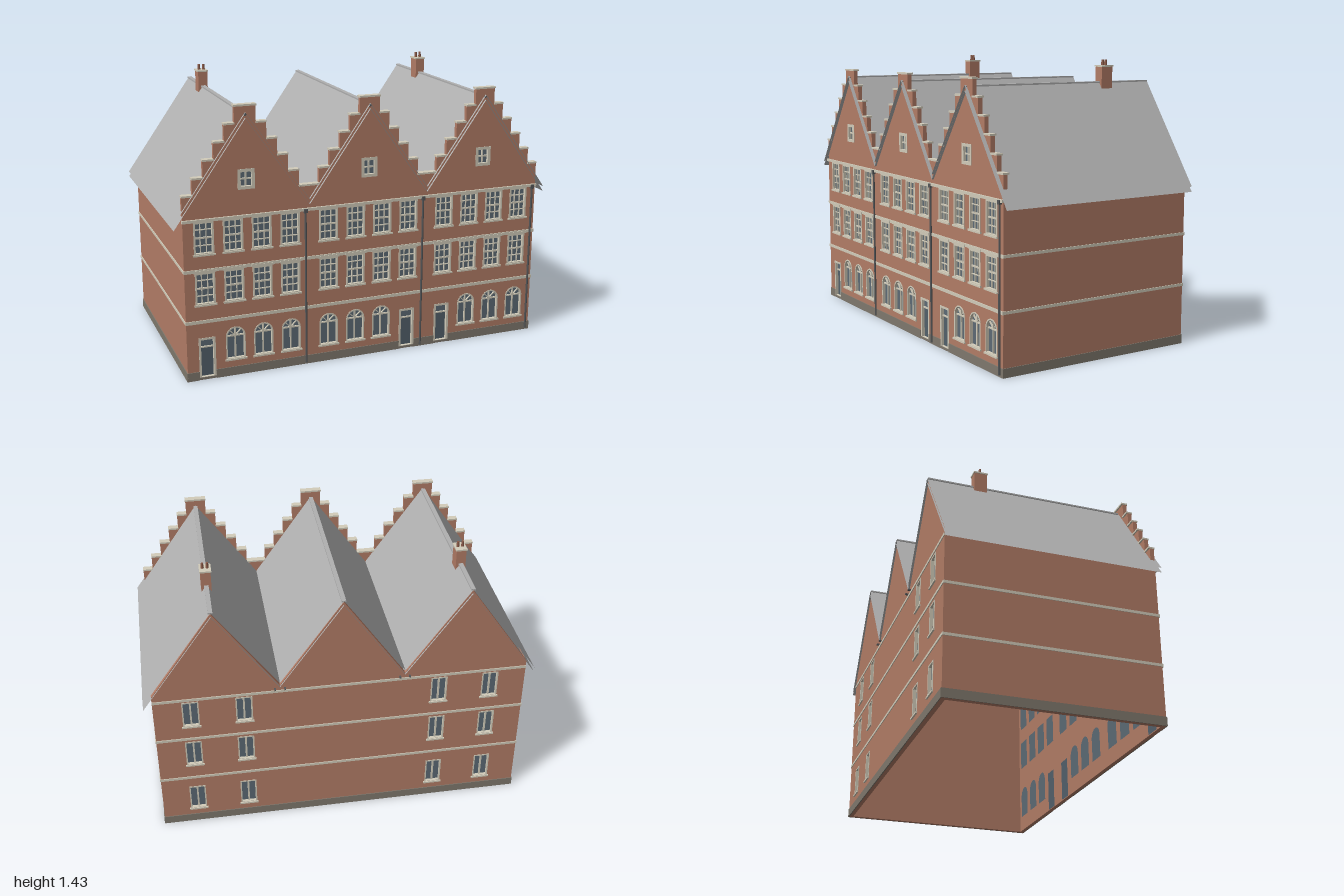
import * as THREE from 'three';

const mat = (name, color, side = THREE.FrontSide) => {
  const m = new THREE.MeshStandardMaterial({ color, side });
  m.name = name;
  return m;
};

export function createModel() {
  const M = {
    brick: mat('brick', 0xb27c66),
    roof: mat('roof slate', 0xb0b0b0, THREE.DoubleSide),
    cream: mat('cream stone', 0xd2ccba),
    glass: mat('glass', 0x5c6a74),
    door: mat('door paint', 0x52606a),
    plinth: mat('plinth stone', 0x7f786d),
    metal: mat('dark metal', 0x555759),
    pot: mat('chimney pot', 0x8a5a48),
  };
  const root = new THREE.Group();
  root.name = 'rowOfTownHouses';

  const add = (parent, name, geo, m, x = 0, y = 0, z = 0) => {
    const mesh = new THREE.Mesh(geo, m);
    mesh.name = name;
    mesh.position.set(x, y, z);
    parent.add(mesh);
    return mesh;
  };
  const box = (parent, name, m, w, h, d, x, y, z) =>
    add(parent, name, new THREE.BoxGeometry(w, h, d), m, x, y, z);
  const slab = (shape, depth) =>
    new THREE.ExtrudeGeometry(shape, { depth, bevelEnabled: false, curveSegments: 10 });

  // Outline of an opening standing on y = 0, optionally with a round head
  const outline = (Type, w, h, arch, x = 0, y = 0) => {
    const p = new Type(), r = w / 2;
    p.moveTo(x - r, y);
    p.lineTo(x + r, y);
    if (arch) p.absarc(x, y + h - r, r, 0, Math.PI, false);
    else { p.lineTo(x + r, y + h); p.lineTo(x - r, y + h); }
    p.closePath();
    return p;
  };

  // Cuts a hole in the wall and fills it with frame, pane and glazing bars
  function opening(group, wall, face, o) {
    const { x, y, w, h, arch = false, f = 0.009 } = o;
    wall.holes.push(outline(THREE.Path, w, h, arch, x, y));
    const g = new THREE.Group();
    g.name = o.name;
    g.position.set(x, y, face);
    group.add(g);
    const frame = outline(THREE.Shape, w, h, arch);
    frame.holes.push(outline(THREE.Path, w - 2 * f, h - 2 * f, arch, 0, f));
    add(g, 'frame', slab(frame, 0.016), M.cream, 0, 0, -0.014);
    add(g, 'pane', slab(outline(THREE.Shape, w, h, arch), 0.006), o.pane || M.glass, 0, 0, -0.022);
    for (const [bx, t = 0.004, b = 0, e = h] of o.vBars || [])
      box(g, 'verticalBar', M.cream, t, e - b - f, 0.008, bx, (b + e) / 2, -0.011);
    for (const [by, t = 0.004] of o.hBars || [])
      box(g, 'crossBar', M.cream, w - f, t, 0.008, 0, by, -0.0105);
    if (arch) for (const s of [-1, 1]) {
      const bar = box(g, 'fanBar', M.cream, 0.004, w / 2 - f, 0.008,
        s * w * 0.16, h - w / 2 + w * 0.16, -0.011);
      bar.rotation.z = -s * Math.PI / 4;
    }
    if (o.sill) box(g, 'sill', M.cream, w + 0.012, 0.009, 0.014, 0, 0, 0.001);
    if (o.lintel) box(g, 'lintel', M.cream, w + 0.012, 0.012, 0.01, 0, h + 0.006, 0.002);
    return g;
  }

  const HALF = 0.9525, FRONT = 0.53, BACK = 0.545, T = 0.022;
  const houses = [-0.635, 0, 0.635];

  // Front wall with three stepped gables
  const front = new THREE.Group();
  front.name = 'frontFacade';
  root.add(front);
  const hw = [0.053, 0.104, 0.157, 0.211, 0.265, 0.3175];
  const ys = [1.352, 1.268, 1.185, 1.102, 1.018, 0.936];
  const wall = new THREE.Shape();
  wall.moveTo(-HALF, 0);
  wall.lineTo(HALF, 0);
  for (const c of [...houses].reverse()) {
    for (let i = 5; i >= 0; i--) {
      wall.lineTo(c + hw[i], ys[i]);
      if (i) wall.lineTo(c + hw[i - 1], ys[i]);
    }
    for (let i = 0; i < 6; i++) {
      if (i) wall.lineTo(c - hw[i - 1], ys[i]);
      wall.lineTo(c - hw[i], ys[i]);
    }
  }
  wall.closePath();

  const columns = [-0.216, -0.071, 0.073, 0.218];
  const doorColumn = [0, 3, 0];
  const doorXs = [];
  houses.forEach((c, k) => {
    columns.forEach((dx, i) => {
      const x = c + dx;
      for (const y of [0.39, 0.645])
        opening(front, wall, FRONT, {
          name: 'sashWindow', x, y, w: 0.1, h: 0.166, sill: true, lintel: true,
          vBars: [[-0.015], [0.015]], hBars: [[0.045], [0.083, 0.008], [0.124]],
        });
      if (i === doorColumn[k]) {
        doorXs.push(x);
        const g = opening(front, wall, FRONT, {
          name: 'frontDoor', x, y: 0.004, w: 0.085, h: 0.216, f: 0.011,
          pane: M.door, hBars: [[0.165, 0.007]],
        });
        box(g, 'fanlight', M.glass, 0.063, 0.034, 0.004, 0, 0.187, -0.015);
        box(g, 'doorStep', M.plinth, 0.085, 0.012, 0.02, 0, 0.004, -0.005);
      } else {
        opening(front, wall, FRONT, {
          name: 'archedWindow', x, y: 0.085, w: 0.1, h: 0.172, arch: true, f: 0.007,
          vBars: [[0, 0.007]], hBars: [[0.122, 0.007]], sill: true,
        });
      }
    });
    opening(front, wall, FRONT, {
      name: 'atticWindow', x: c, y: 0.95, w: 0.085, h: 0.1, f: 0.015,
      vBars: [[0, 0.007]], hBars: [[0.05, 0.007]],
    });
    const anchor = add(front, 'wallAnchor', new THREE.CylinderGeometry(0.007, 0.007, 0.008, 10),
      M.metal, c, 1.312, FRONT);
    anchor.rotation.x = Math.PI / 2;
    // Coping stones on every step
    ys.forEach((y, i) => {
      if (!i) box(front, 'topCoping', M.cream, 0.112, 0.009, 0.034, c, y + 0.0045, 0.517);
      else for (const s of [-1, 1])
        box(front, 'stepCoping', M.cream, hw[i] - hw[i - 1] + 0.002, 0.009, 0.034,
          c + s * (hw[i] + hw[i - 1]) / 2, y + 0.0045, 0.517);
    });
    // Downpipe with hopper
    const px = c + 0.296;
    add(front, 'downpipe', new THREE.CylinderGeometry(0.0055, 0.0055, 0.81, 8), M.metal, px, 0.415, 0.537);
    box(front, 'pipeHopper', M.metal, 0.018, 0.02, 0.014, px, 0.812, 0.538);
  });
  add(front, 'frontWall', slab(wall, T), M.brick, 0, 0, FRONT - T);

  // Plinth pieces between the doors
  let start = -HALF;
  for (const end of [...doorXs, null]) {
    const e = end === null ? HALF : end - 0.0425;
    box(front, 'frontPlinth', M.plinth, e - start, 0.045, 0.006, (start + e) / 2, 0.0225, FRONT + 0.001);
    start = end + 0.0425;
  }
  for (const [y, h, d] of [[0.305, 0.016, 0.01], [0.566, 0.016, 0.01], [0.818, 0.014, 0.02]])
    box(front, 'frontBand', M.cream, 2 * HALF + 0.006, h, d, 0, y, FRONT);

  // Back wall with three plain gables, built facing +z and turned round
  const rear = new THREE.Group();
  rear.name = 'rearFacade';
  rear.rotation.y = Math.PI;
  root.add(rear);
  const rearWall = new THREE.Shape();
  rearWall.moveTo(-HALF, 0);
  rearWall.lineTo(HALF, 0);
  rearWall.lineTo(HALF, 0.85);
  for (const c of [...houses].reverse()) {
    rearWall.lineTo(c, 1.312);
    rearWall.lineTo(c - 0.3175, 0.85);
  }
  rearWall.closePath();
  for (const x of [-0.768, -0.5, 0.5, 0.768])
    for (const y of [0.085, 0.39, 0.645])
      opening(rear, rearWall, BACK, {
        name: 'rearWindow', x, y, w: 0.085, h: 0.155, f: 0.007, sill: true, vBars: [[0, 0.009]],
      });
  add(rear, 'rearWall', slab(rearWall, T), M.brick, 0, 0, BACK - T);
  box(rear, 'rearPlinth', M.plinth, 2 * HALF, 0.045, 0.006, 0, 0.0225, BACK + 0.001);
  for (const y of [0.305, 0.566, 0.815])
    box(rear, 'rearBand', M.cream, 2 * HALF, 0.014, 0.008, 0, y, BACK);
  for (const x of [-0.3175, 0.3175])
    for (const s of [-1, 1])
      box(rear, 'valleySpout', M.metal, 0.008, 0.008, 0.018, x + s * 0.025, 0.832, BACK + 0.006);

  // Side walls with their plinth and bands
  const depth = FRONT + BACK - 2 * T, midZ = (FRONT - BACK) / 2;
  for (const s of [-1, 1]) {
    box(root, 'sideWall', M.brick, T, 0.85, depth, s * (HALF - T / 2), 0.425, midZ);
    box(root, 'sidePlinth', M.plinth, 0.006, 0.045, FRONT + BACK + 0.006, s * (HALF + 0.001), 0.0225, midZ);
    for (const y of [0.305, 0.566])
      box(root, 'sideBand', M.cream, 0.008, 0.014, FRONT + BACK + 0.006, s * HALF, y, midZ);
  }

  // Thin roof sheets: an upper skin and a lower lining on every slope
  const Z0 = -0.553, Z1 = 0.541, SLOPE = 1.42;
  const sheet = (name, c, s, run, top) => {
    const g = new THREE.PlaneGeometry(1, 1), p = g.attributes.position;
    for (let i = 0; i < p.count; i++) {
      const u = (p.getX(i) + 0.5) * run, v = p.getY(i) + 0.5;
      p.setXYZ(i, c + s * u, top - SLOPE * u, s > 0 ? Z1 + (Z0 - Z1) * v : Z0 + (Z1 - Z0) * v);
    }
    g.computeVertexNormals();
    add(root, name, g, M.roof);
  };
  for (const c of houses) {
    for (const s of [-1, 1]) {
      const run = c * s > 0.5 ? 0.362 : 0.3175;
      sheet('roofSlope', c, s, run, 1.322);
      sheet('roofLining', c, s, run, 1.296);
    }
    box(root, 'ridgeCap', M.roof, 0.022, 0.008, 1.05, c, 1.318, -0.025);
  }

  // Chimneys with cap and two pots
  for (const c of [houses[0], houses[2]]) {
    const g = new THREE.Group();
    g.name = 'chimney';
    g.position.set(c, 0, -0.276);
    root.add(g);
    box(g, 'stack', M.brick, 0.05, 0.12, 0.066, 0, 1.335, 0);
    box(g, 'cap', M.cream, 0.058, 0.008, 0.074, 0, 1.398, 0);
    for (const s of [-1, 1])
      add(g, 'pot', new THREE.CylinderGeometry(0.006, 0.008, 0.028, 10), M.pot, s * 0.012, 1.416, 0);
  }
  return root;
}
